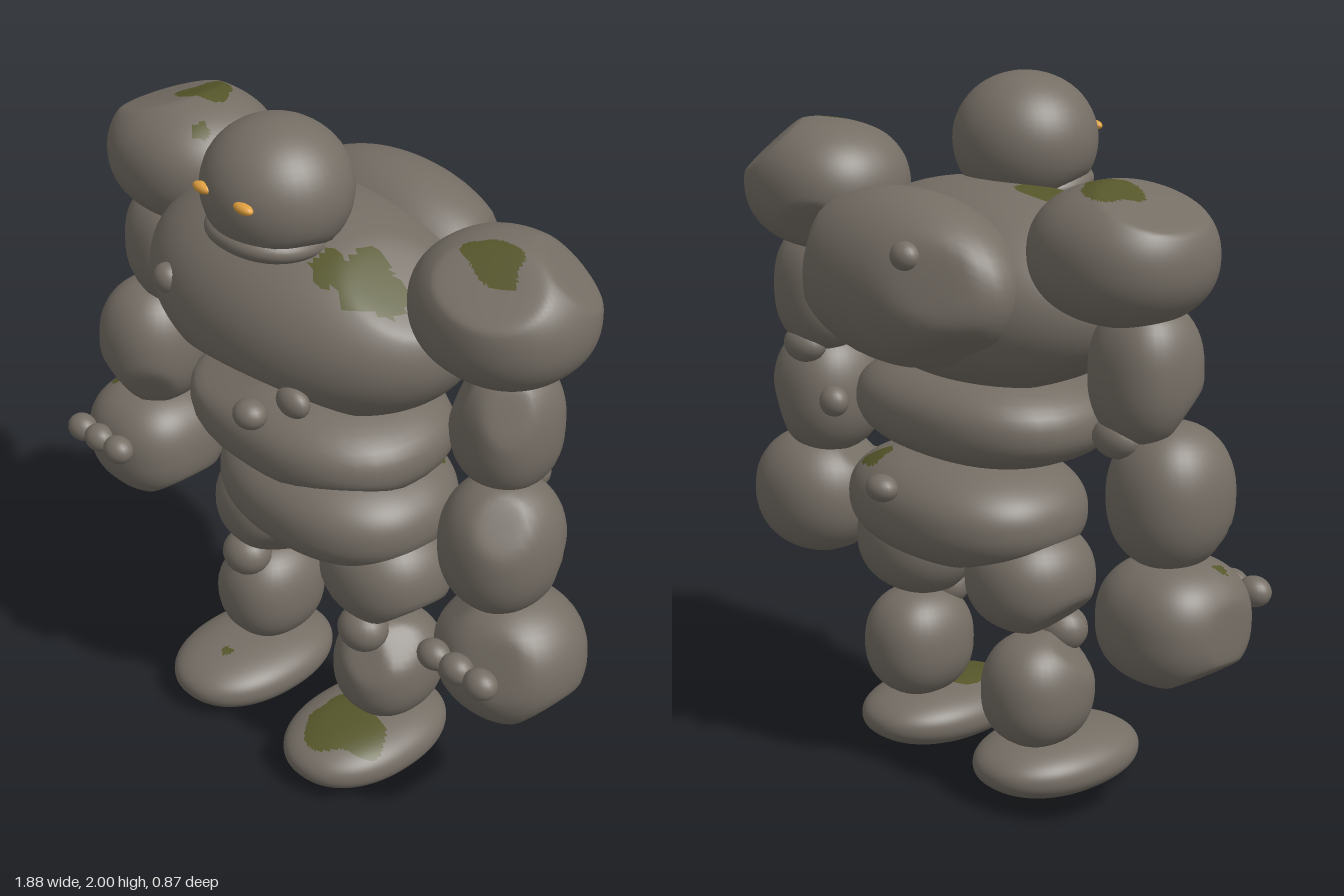
import * as THREE from 'three';
import { mergeVertices } from 'three/addons/utils/BufferGeometryUtils.js';

const mat = (name, color) => {
  const m = new THREE.MeshStandardMaterial({ color });
  m.name = name;
  return m;
};

// Small seeded generator for the worn facets
function seeded(seed) {
  let s = seed * 7919 + 17;
  return () => (s = (s * 16807) % 2147483647) / 2147483647;
}

export function createModel() {
  const root = new THREE.Group();
  root.name = 'stoneGiant';
  const stone = mat('stone', 0x756e65);
  const moss = mat('moss', 0x55562a);
  const amber = mat('amber', 0xe0a040);
  let count = 0;

  // A boulder: rounded box-like ellipsoid with softened planar cuts.
  // cuts: [nx, ny, nz, distance] in unit space; patches: [x, z, rx, rz] of moss seen from above
  function rock(name, c, r, { box = 2.2, cuts = [], wear = 0, patches = [], group = root } = {}) {
    const rnd = seeded(++count);
    let geo = patches.length ? new THREE.SphereGeometry(1, 100, 66) : new THREE.SphereGeometry(1, 40, 28);
    geo.deleteAttribute('uv');
    geo.deleteAttribute('normal');
    geo = mergeVertices(geo, 1e-4);
    const planes = cuts.map(([x, y, z, d]) => [new THREE.Vector3(x, y, z).normalize(), d]);
    for (let i = 0; i < wear; i++) {
      const side = () => (rnd() < 0.5 ? -1 : 1) * (0.35 + 0.6 * rnd());
      planes.push([new THREE.Vector3(side(), side(), side()).normalize(), 0.92 + 0.05 * rnd()]);
    }
    const pos = geo.attributes.position;
    const p = new THREE.Vector3();
    for (let i = 0; i < pos.count; i++) {
      p.fromBufferAttribute(pos, i);
      const k = Math.abs(p.x) ** box + Math.abs(p.y) ** box + Math.abs(p.z) ** box;
      p.multiplyScalar(k ** (-1 / box));
      for (const [n, d] of planes) {
        const over = p.dot(n) - d + 0.04;
        if (over > 0) p.addScaledVector(n, (-over * over) / (over + 0.06));
      }
      pos.setXYZ(i, p.x * r[0], p.y * r[1], p.z * r[2]);
    }
    geo.computeVertexNormals();
    if (patches.length) paintMoss(geo, c, patches);
    const mesh = new THREE.Mesh(geo, patches.length ? [stone, moss] : stone);
    mesh.name = name;
    mesh.position.set(...c);
    group.add(mesh);
    return mesh;
  }

  // Sort the upper faces inside wavy patches into a moss group
  function paintMoss(geo, c, patches) {
    const idx = geo.index.array, pos = geo.attributes.position;
    const plain = [], green = [];
    for (let i = 0; i < idx.length; i += 3) {
      const t = [idx[i], idx[i + 1], idx[i + 2]];
      const mid = (get) => t.reduce((s, v) => s + get(v), 0) / 3;
      const x = mid((v) => pos.getX(v)) + c[0];
      const y = mid((v) => pos.getY(v));
      const z = mid((v) => pos.getZ(v)) + c[2];
      const inside = y > 0 && patches.some(([px, pz, rx, rz]) => {
        const u = (x - px) / rx, w = (z - pz) / rz, a = Math.atan2(w, u);
        return Math.hypot(u, w) < 1 + 0.14 * Math.sin(3 * a + px * 9) + 0.07 * Math.sin(5 * a);
      });
      (inside ? green : plain).push(...t);
    }
    geo.setIndex([...plain, ...green]);
    geo.addGroup(0, plain.length, 0);
    geo.addGroup(plain.length, green.length, 1);
  }

  // Pebbles and other small smooth stones
  const pebbleGeo = new THREE.SphereGeometry(1, 20, 14);
  function pebble(name, c, r, material = stone, group = root) {
    const mesh = new THREE.Mesh(pebbleGeo, material);
    mesh.name = name;
    mesh.position.set(...c);
    mesh.scale.set(...r);
    group.add(mesh);
  }

  // Head, jaw and eyes
  rock('head', [-0.015, 1.813, 0.215], [0.204, 0.187, 0.197], {
    box: 2.05, cuts: [[0.6, -0.8, 0.2, 0.92], [-0.6, -0.8, 0.2, 0.92]],
  });
  const jaw = rock('jaw', [-0.018, 1.693, 0.25], [0.168, 0.054, 0.152]);
  jaw.rotation.x = -0.12;
  for (const x of [-0.095, 0.062]) pebble('eye', [x, 1.84, 0.398], [0.034, 0.015, 0.017], amber);

  // Torso
  rock('chest', [-0.042, 1.44, 0.065], [0.533, 0.282, 0.36], {
    box: 2.05,
    cuts: [[0, -1, 0, 0.88], [0.1, -0.75, 0.65, 0.88], [-0.75, -0.65, 0, 0.95], [0.75, 0.65, 0.1, 0.95]],
    patches: [[-0.27, 0.13, 0.14, 0.095], [0.29, 0.17, 0.09, 0.085], [0.21, 0.225, 0.075, 0.045]],
  });
  rock('backHump', [-0.02, 1.49, -0.22], [0.395, 0.24, 0.215], {
    box: 2.05, cuts: [[0.95, 0.1, -0.32, 0.84], [-0.7, 0.2, -0.7, 0.93], [-0.6, -0.7, -0.3, 0.92]],
  });
  rock('belly', [-0.005, 1.08, 0.075], [0.4, 0.147, 0.295], {
    box: 2.4, cuts: [[-0.5, 0.7, 0.5, 0.97], [0.6, -0.6, 0.5, 0.97]],
  });
  rock('pelvis', [-0.005, 0.81, 0.01], [0.365, 0.165, 0.285], {
    box: 2.3, cuts: [[0.6, -0.8, 0, 0.9], [-0.6, -0.8, 0, 0.9]],
    patches: [[0.19, -0.16, 0.05, 0.04]],
  });

  // Loose pebbles on the torso
  const loose = [
    [[-0.283, 1.49, 0.375], [0.044, 0.043, 0.038]],
    [[0.208, 1.322, 0.37], [0.055, 0.043, 0.035]],
    [[0.055, 1.22, 0.387], [0.05, 0.041, 0.045]],
    [[-0.19, 1.595, -0.372], [0.045, 0.04, 0.038]],
    [[0.31, 1.07, -0.215], [0.045, 0.044, 0.04]],
    [[0, 0.905, -0.3], [0.05, 0.038, 0.042]],
  ];
  for (const [c, r] of loose) pebble('pebble', c, r);

  // Arms and legs; the two sides differ slightly in placing and wear
  const sides = [
    {
      label: 'left', s: 1, shoulder: [0.6, 1.63, 0.005], shoulderR: [0.25, 0.19, 0.225],
      shoulderCuts: [[0.25, 0.8, 0.6, 0.86], [0.55, 0.65, -0.5, 0.89], [-0.5, -0.5, -0.7, 0.95]],
      shoulderMoss: [[0.62, 0.07, 0.085, 0.055]],
      arm: 0.64, fore: 0.685, hand: [0.732, 0.653, 0.07], handR: [0.205, 0.192, 0.195], handBox: 2.2, handMoss: [],
      handCuts: [[0.75, -0.65, 0, 0.93], [-0.6, 0.7, 0.3, 0.93], [0.4, 0.3, 0.85, 0.93]],
      fingers: [0.65, 0.733, 0.82], thigh: [0.215, 0.64, 0.03], thighR: [0.19, 0.165, 0.18],
      knee: 0.225, shin: 0.235, foot: 0.225, footMoss: [[0.24, 0.215, 0.125, 0.105]],
    },
    {
      label: 'right', s: -1, shoulder: [-0.615, 1.62, -0.005], shoulderR: [0.25, 0.185, 0.23],
      shoulderCuts: [[-0.44, 0.88, 0, 0.84], [0.6, -0.7, 0.3, 0.94]],
      shoulderMoss: [[-0.61, -0.05, 0.08, 0.08], [-0.47, 0.09, 0.025, 0.025]],
      arm: -0.68, fore: -0.732, hand: [-0.752, 0.647, 0.07], handR: [0.195, 0.175, 0.195], handBox: 2.4,
      handCuts: [[-1, 0, 0.1, 0.95], [0.6, -0.75, 0, 0.95], [-0.6, -0.8, 0, 0.95]],
      handMoss: [[-0.86, 0.13, 0.018, 0.02]],
      fingers: [-0.85, -0.77, -0.68], thigh: [-0.245, 0.64, 0.03], thighR: [0.175, 0.158, 0.18],
      knee: -0.273, shin: -0.275, foot: -0.267, footMoss: [[-0.25, 0.24, 0.018, 0.018]],
    },
  ];
  for (const d of sides) {
    const { s } = d;
    const arm = new THREE.Group(), leg = new THREE.Group();
    arm.name = d.label + 'Arm';
    leg.name = d.label + 'Leg';
    root.add(arm, leg);

    rock('shoulder', d.shoulder, d.shoulderR, { cuts: d.shoulderCuts, patches: d.shoulderMoss, group: arm });
    rock('upperArm', [d.arm, 1.315, 0.02], [0.142, 0.19, 0.142], { box: 2.4, wear: 2, group: arm });
    pebble('elbow', [s * 0.65, 1.145, -0.05], [0.075, 0.055, 0.055], stone, arm);
    rock('forearm', [d.fore, 0.985, 0.07], [0.16, 0.198, 0.168], { box: 2.25, wear: 2, group: arm });
    rock('hand', d.hand, d.handR, { box: d.handBox, group: arm, patches: d.handMoss, cuts: d.handCuts });
    for (const x of d.fingers) pebble('finger', [x, 0.697, 0.278], [0.05, 0.042, 0.042], stone, arm);

    rock('thigh', d.thigh, d.thighR, {
      group: leg, cuts: [[s * 0.7, -0.7, 0.1, 0.88], [-s * 0.6, -0.6, 0.5, 0.94]],
    });
    pebble('knee', [d.knee, 0.465, 0.13], [0.077, 0.068, 0.07], stone, leg);
    rock('shin', [d.shin, 0.31, 0.035], [0.145, 0.165, 0.162], { box: 2.3, wear: 2, group: leg });
    rock('foot', [d.foot, 0.083, 0.118], [0.188, 0.089, 0.265], {
      group: leg, cuts: [[0, -1, 0, 0.88]], patches: d.footMoss,
    });
  }

  return root;
}
